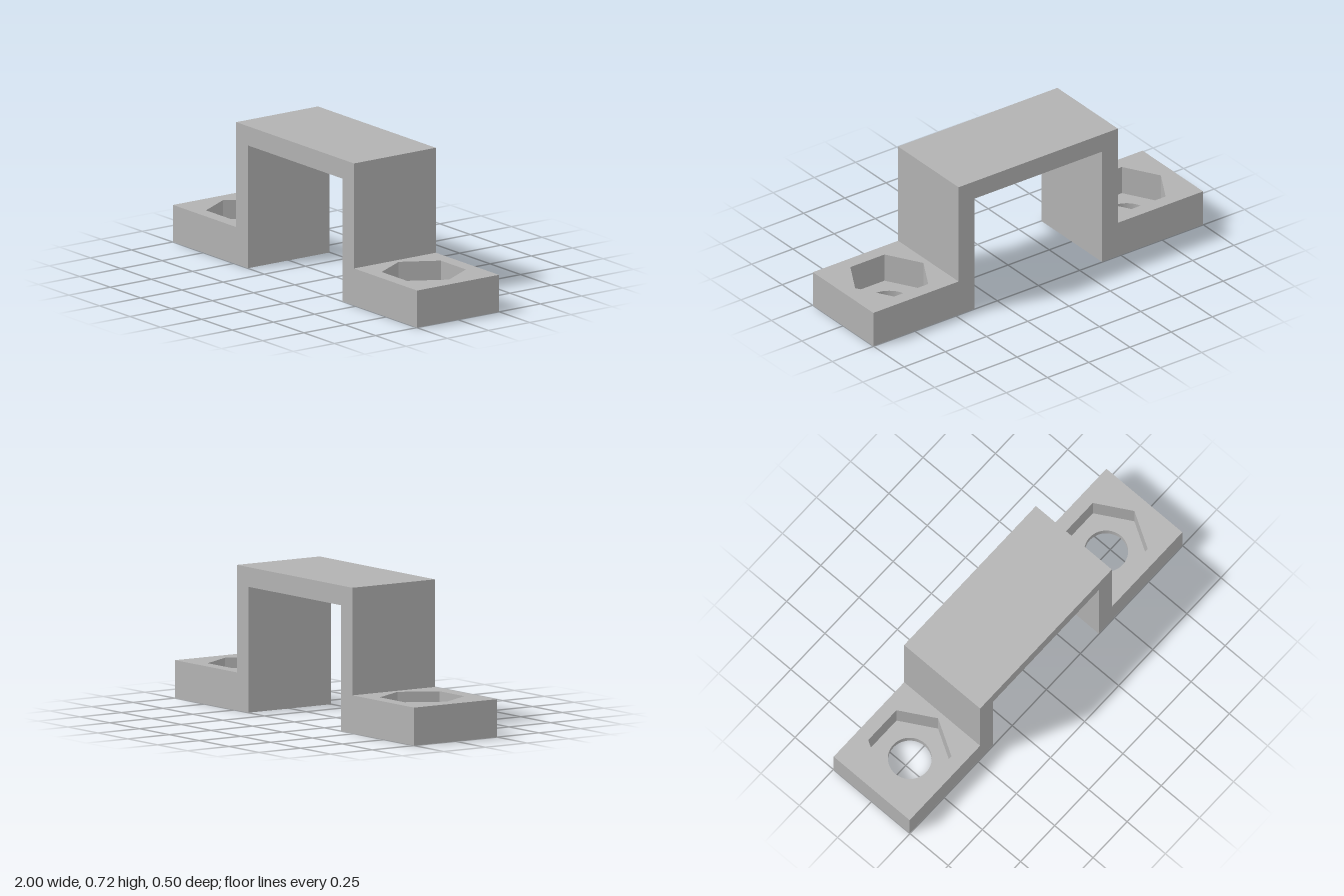
import * as THREE from 'three';

const HALF_DEPTH = 0.248, FOOT_HEIGHT = 0.187, FLOOR = 0.04;
const INNER = 0.387, OUTER = 0.483, HOLE_X = 0.72;

// Flat foot layer with one opening, lying between two heights
function footLayer(opening, y0, y1, material, name) {
  const shape = new THREE.Shape([
    [OUTER, -HALF_DEPTH], [1, -HALF_DEPTH], [1, HALF_DEPTH], [OUTER, HALF_DEPTH],
  ].map(([x, z]) => new THREE.Vector2(x, z)));
  shape.holes.push(opening);
  const geometry = new THREE.ExtrudeGeometry(shape, { depth: y1 - y0, bevelEnabled: false, curveSegments: 48 });
  geometry.rotateX(-Math.PI / 2).translate(0, y0, 0);
  const mesh = new THREE.Mesh(geometry, material);
  mesh.name = name;
  return mesh;
}

export function createModel() {
  const group = new THREE.Group();
  group.name = 'mountingBracket';
  const grey = new THREE.MeshStandardMaterial({ color: 0xb2b2b2 });
  grey.name = 'grey';

  // Raised bridge with its two legs
  const profile = new THREE.Shape([
    [-OUTER, 0], [-INNER, 0], [-INNER, 0.62], [INNER, 0.62],
    [INNER, 0], [OUTER, 0], [OUTER, 0.717], [-OUTER, 0.717],
  ].map(([x, y]) => new THREE.Vector2(x, y)));
  const bridgeGeometry = new THREE.ExtrudeGeometry(profile, { depth: 2 * HALF_DEPTH, bevelEnabled: false });
  bridgeGeometry.translate(0, 0, -HALF_DEPTH);
  const bridge = new THREE.Mesh(bridgeGeometry, grey);
  bridge.name = 'bridge';
  group.add(bridge);

  // Feet: a round bolt hole below a hexagonal nut pocket
  const boltHole = new THREE.Path().absarc(HOLE_X, 0, 0.107, 0, Math.PI * 2, true);
  const nutPocket = new THREE.Path(Array.from({ length: 6 }, (_, i) => {
    const a = -i * Math.PI / 3;
    return new THREE.Vector2(HOLE_X + 0.207 * Math.cos(a), 0.207 * Math.sin(a));
  }));
  for (const [name, turn] of [['leftFoot', 0], ['rightFoot', Math.PI]]) {
    const foot = new THREE.Group();
    foot.name = name;
    foot.add(
      footLayer(boltHole, 0, FLOOR, grey, 'boltHoleFloor'),
      footLayer(nutPocket, FLOOR, FOOT_HEIGHT, grey, 'nutPocketBlock'),
    );
    foot.rotation.y = turn;
    group.add(foot);
  }
  return group;
}
